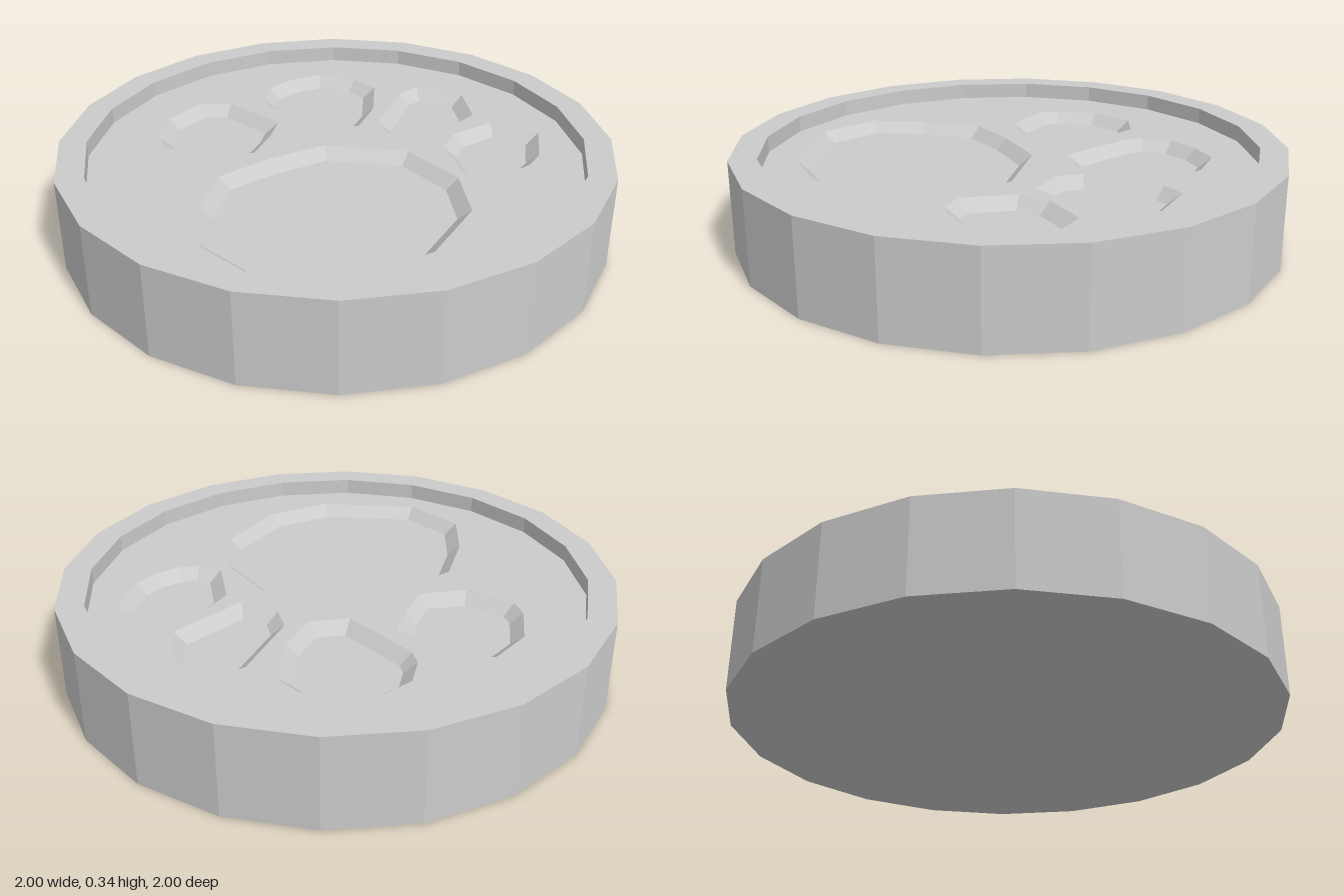
import * as THREE from 'three';

const SIDES = 20, TOP = 0.34, FLOOR = 0.28, RIM = 0.9;
const DEPTH = 0.04, INSET = 0.045;

// Outlines of the sunken print as [x, z], clockwise seen from above
const PRINTS = {
  mainPad: [[-0.37, -0.24], [-0.17, -0.18], [0.04, -0.08], [0.18, 0.2], [0.11, 0.45], [-0.06, 0.6],
    [-0.35, 0.63], [-0.57, 0.53], [-0.78, 0.22], [-0.75, -0.02], [-0.58, -0.15]],
  toeOne: [[-0.13, -0.705], [0.04, -0.7], [0.12, -0.6], [0.095, -0.34], [-0.02, -0.29], [-0.16, -0.255],
    [-0.29, -0.37], [-0.315, -0.555], [-0.27, -0.62]],
  toeTwo: [[0.33, -0.57], [0.455, -0.545], [0.56, -0.485], [0.605, -0.335], [0.585, -0.22], [0.41, -0.11],
    [0.25, -0.07], [0.14, -0.17], [0.19, -0.47], [0.23, -0.52]],
  toeThree: [[0.6, -0.105], [0.69, -0.08], [0.73, 0.11], [0.59, 0.24], [0.29, 0.205], [0.26, 0.06], [0.32, -0.025]],
  toeFour: [[0.4, 0.265], [0.57, 0.33], [0.595, 0.52], [0.43, 0.605], [0.34, 0.61], [0.245, 0.58],
    [0.18, 0.53], [0.155, 0.44], [0.285, 0.285]],
};

// Moves each corner inwards so that every edge shifts by the same distance
function insetLoop(loop, distance) {
  const inward = (p, q) => new THREE.Vector2(p[1] - q[1], q[0] - p[0]).normalize();
  return loop.map((p, i) => {
    const before = inward(loop.at(i - 1), p);
    const after = inward(p, loop[(i + 1) % loop.length]);
    const k = distance / (1 + before.dot(after));
    return [p[0] + (before.x + after.x) * k, p[1] + (before.y + after.y) * k];
  });
}

const toPoints = (loop) => loop.map(([x, z]) => new THREE.Vector2(x, -z));

// Horizontal face at height y, with optional holes
function flatFace(loop, y, holes = []) {
  const shape = new THREE.Shape(toPoints(loop));
  shape.holes = holes.map((hole) => new THREE.Path(toPoints(hole)));
  return new THREE.ShapeGeometry(shape).rotateX(-Math.PI / 2).translate(0, y, 0);
}

// Sloping wall between the upper outline and the inset lower one
function slopedWall(upper, lower) {
  const positions = [];
  upper.forEach((p, i) => {
    const j = (i + 1) % upper.length;
    const a = [p[0], FLOOR, p[1]];
    const b = [upper[j][0], FLOOR, upper[j][1]];
    const c = [lower[i][0], FLOOR - DEPTH, lower[i][1]];
    const d = [lower[j][0], FLOOR - DEPTH, lower[j][1]];
    positions.push(...a, ...c, ...b, ...b, ...c, ...d);
  });
  const geometry = new THREE.BufferGeometry();
  geometry.setAttribute('position', new THREE.Float32BufferAttribute(positions, 3));
  geometry.computeVertexNormals();
  return geometry;
}

export function createModel() {
  const model = new THREE.Group();
  model.name = 'pawPrintDisc';
  const material = new THREE.MeshStandardMaterial({ color: 0xcccccc, flatShading: true });
  const add = (name, geometry, parent = model) => {
    const mesh = new THREE.Mesh(geometry, material);
    mesh.name = name;
    parent.add(mesh);
  };

  // Underside, outer wall, rim and inner wall in one profile
  const profile = [[0, 0], [1, 0], [1, TOP], [RIM, TOP], [RIM, FLOOR]];
  add('discBody', new THREE.LatheGeometry(profile.map(([r, y]) => new THREE.Vector2(r, y)), SIDES));

  // Recessed face, pierced by the prints
  const edge = Array.from({ length: SIDES }, (_, i) => {
    const angle = (i / SIDES) * Math.PI * 2;
    return [Math.sin(angle) * RIM, Math.cos(angle) * RIM];
  });
  add('recessedFace', flatFace(edge, FLOOR, Object.values(PRINTS)));

  // Sunken pads
  for (const [name, upper] of Object.entries(PRINTS)) {
    const pad = new THREE.Group();
    pad.name = name;
    const lower = insetLoop(upper, INSET);
    add(name + 'Wall', slopedWall(upper, lower), pad);
    add(name + 'Floor', flatFace(lower, FLOOR - DEPTH), pad);
    model.add(pad);
  }
  return model;
}
